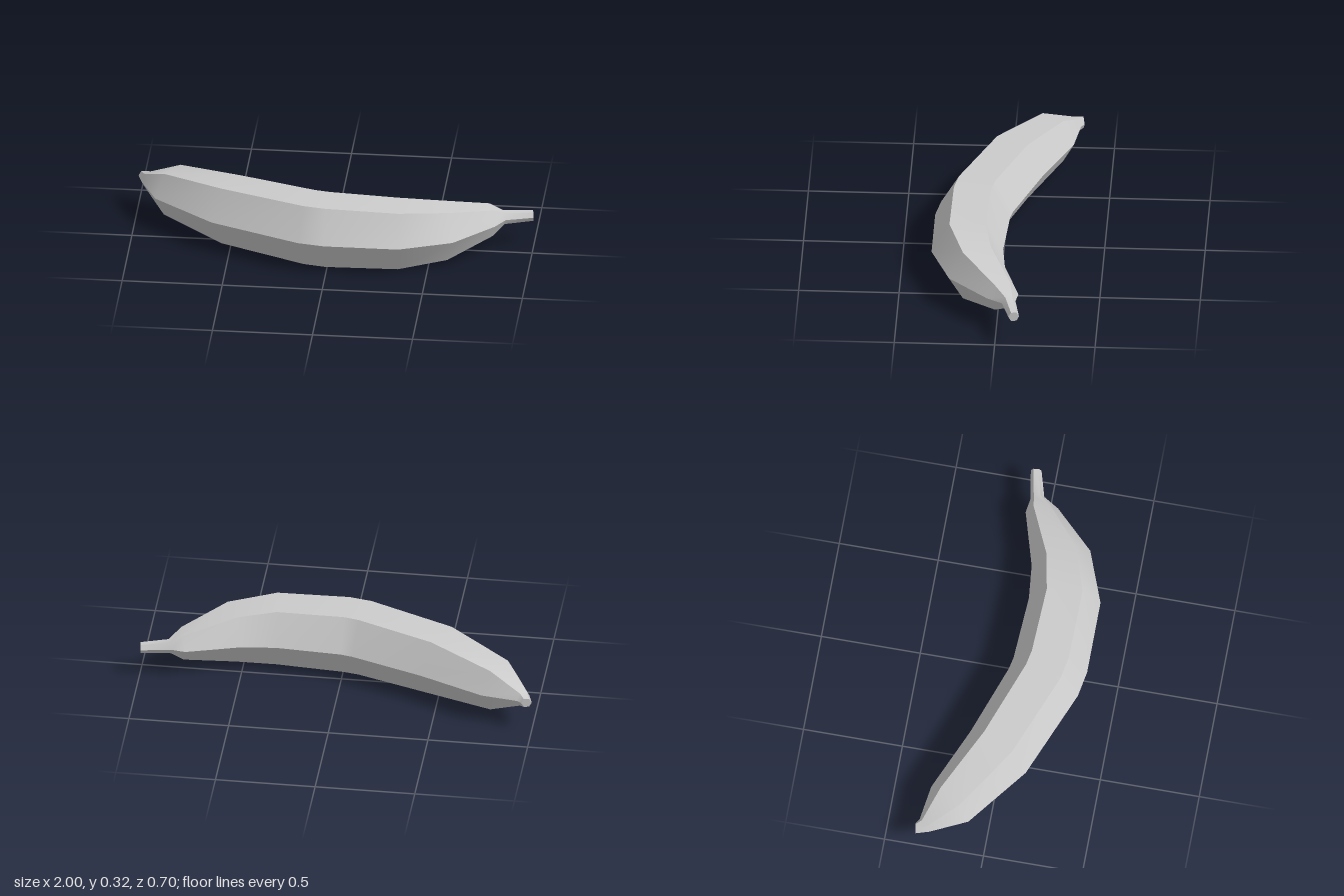
import * as THREE from 'three';

// Cross-sections from blossom tip to stem: front corner [x, z], back corner [x, z]
const rings = [
  [-1.0, -0.343, -0.948, -0.353],
  [-0.98, -0.278, -0.925, -0.337],
  [-0.893, -0.096, -0.743, -0.31],
  [-0.588, 0.139, -0.42, -0.17],
  [-0.14, 0.322, -0.06, -0.042],
  [-0.01, 0.345, 0.0, -0.029],
  [0.364, 0.345, 0.326, -0.01],
  [0.626, 0.246, 0.497, -0.027],
  [0.818, 0.048, 0.77, -0.107],
  [0.866, -0.03, 0.84, -0.096],
  [1.0, -0.068, 0.993, -0.121],
];
const SIDES = 6;
const MID_Y = 0.162;

// Corner k of a regular hexagon spanning the front and back corners
function corner([fx, fz, bx, bz], k) {
  const a = (k / SIDES) * Math.PI * 2;
  const c = Math.cos(a) / 2;
  const r = Math.hypot(fx - bx, fz - bz) / 2;
  return [
    (fx + bx) / 2 + (fx - bx) * c,
    MID_Y + r * Math.sin(a),
    (fz + bz) / 2 + (fz - bz) * c,
  ];
}

function makeMesh(name, positions, index, material) {
  const geometry = new THREE.BufferGeometry();
  geometry.setAttribute('position', new THREE.Float32BufferAttribute(positions, 3));
  geometry.setIndex(index);
  geometry.computeVertexNormals();
  const mesh = new THREE.Mesh(geometry, material);
  mesh.name = name;
  return mesh;
}

// Flat hexagonal end
function makeCap(name, ring, reversed, material) {
  const positions = [], index = [];
  for (let k = 0; k < SIDES; k++) positions.push(...corner(ring, k));
  for (let k = 1; k < SIDES - 1; k++) index.push(0, ...(reversed ? [k + 1, k] : [k, k + 1]));
  return makeMesh(name, positions, index, material);
}

export function createModel() {
  const group = new THREE.Group();
  group.name = 'banana';
  const material = new THREE.MeshStandardMaterial({ color: 0xcccccc });

  // Peel: six strips, smooth along their length with sharp ridges between them
  const positions = [], index = [];
  for (let k = 0; k < SIDES; k++) {
    const start = positions.length / 3;
    rings.forEach((ring, i) => {
      positions.push(...corner(ring, k), ...corner(ring, k + 1));
      if (i === rings.length - 1) return;
      const a = start + i * 2;
      index.push(a, a + 2, a + 3, a, a + 3, a + 1);
    });
  }
  group.add(makeMesh('peel', positions, index, material));

  // Closed ends
  group.add(makeCap('blossomTip', rings[0], false, material));
  group.add(makeCap('stemEnd', rings[rings.length - 1], true, material));
  return group;
}
